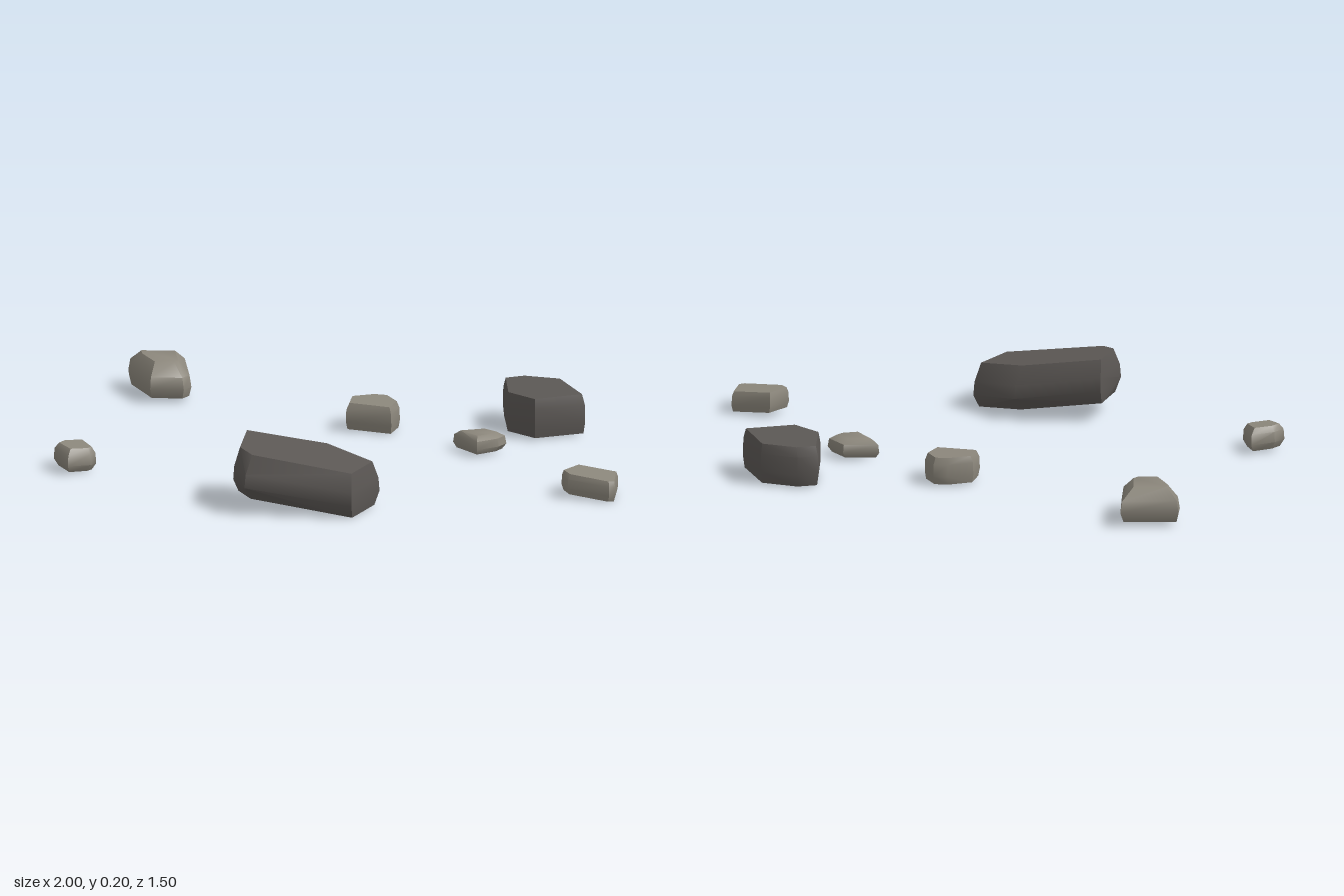
import * as THREE from 'three';
import { ConvexGeometry } from 'three/addons/geometries/ConvexGeometry.js';
import { toCreasedNormals } from 'three/addons/utils/BufferGeometryUtils.js';

const lightStone = new THREE.MeshStandardMaterial({ color: 0x8c877c });
lightStone.name = 'lightStone';
const darkStone = new THREE.MeshStandardMaterial({ color: 0x5c5855 });
darkStone.name = 'darkStone';

// Stacks four copies of a plan outline (x, z pairs), full size at the belly and
// narrowed to the foot and crown scales, then tilts them and wraps a hull round them
function makeRock(name, material, outline, { base, height, slope = 0, foot, crown, shoulder = 0.75 }) {
  const plan = outline.map(([x, z]) => new THREE.Vector2(x, z));
  const centre = new THREE.Box2().setFromPoints(plan).getCenter(new THREE.Vector2());
  const belly = new THREE.Vector2(1, 1);
  const footScale = new THREE.Vector2(...foot);
  const crownScale = new THREE.Vector2(...crown);
  const rings = [
    [0, footScale],
    [0.3, belly],
    [shoulder, belly.clone().lerp(crownScale, 0.15)],
    [1, crownScale],
  ];
  const points = [];
  for (const [level, scale] of rings) {
    for (const corner of plan) {
      const p = corner.clone().sub(centre).multiply(scale);
      points.push(new THREE.Vector3(p.x, Math.max(0, base + level * height + p.x * slope), p.y));
    }
  }
  const mesh = new THREE.Mesh(toCreasedNormals(new ConvexGeometry(points), 0.75), material);
  mesh.name = name;
  mesh.position.set(centre.x, 0, centre.y);
  return mesh;
}

export function createModel() {
  const group = new THREE.Group();
  group.name = 'scatteredRocks';

  // Two dark boulders
  group.add(makeRock('largeSlab', darkStone,
    [[-0.105, 0.465], [0.15, 0.365], [0.34, 0.435], [0.345, 0.65], [0.02, 0.745], [-0.045, 0.69]],
    { base: 0.032, height: 0.14, slope: -0.14, foot: [0.97, 0.8], crown: [0.95, 0.76], shoulder: 0.6 }));
  group.add(makeRock('backBoulder', darkStone,
    [[0.235, -0.685], [0.28, -0.735], [0.405, -0.75], [0.56, -0.6], [0.445, -0.475], [0.325, -0.52]],
    { base: 0.006, height: 0.126, foot: [0.96, 0.95], crown: [0.93, 0.95] }));

  // Five lighter stones
  group.add(makeRock('leftRock', lightStone,
    [[-0.998, -0.555], [-0.84, -0.645], [-0.735, -0.46], [-0.74, -0.415], [-0.835, -0.37], [-0.97, -0.5]],
    { base: 0.015, height: 0.105, slope: -0.02, foot: [0.92, 0.88], crown: [0.58, 0.55], shoulder: 0.65 }));
  group.add(makeRock('middleRock', lightStone,
    [[-0.165, -0.41], [-0.11, -0.475], [-0.065, -0.487], [0, -0.43], [0.013, -0.34], [-0.135, -0.32]],
    { base: 0.006, height: 0.084, slope: -0.03, foot: [0.95, 0.93], crown: [0.88, 0.86] }));
  group.add(makeRock('smallRock', lightStone,
    [[0.255, -0.28], [0.345, -0.35], [0.425, -0.31], [0.42, -0.265], [0.375, -0.2]],
    { base: 0.008, height: 0.056, slope: 0.04, foot: [0.85, 0.85], crown: [0.68, 0.62] }));
  group.add(makeRock('rightRock', lightStone,
    [[0.82, 0], [0.955, -0.008], [0.998, 0.105], [0.985, 0.122], [0.845, 0.127], [0.808, 0.095]],
    { base: 0.01, height: 0.064, slope: -0.08, foot: [0.94, 0.95], crown: [0.94, 0.88] }));
  group.add(makeRock('frontLeftPebble', lightStone,
    [[-0.71, 0.37], [-0.635, 0.445], [-0.64, 0.475], [-0.69, 0.535], [-0.765, 0.48], [-0.76, 0.43]],
    { base: 0.007, height: 0.073, slope: -0.08, foot: [0.78, 0.82], crown: [0.78, 0.7] }));

  return group;
}
